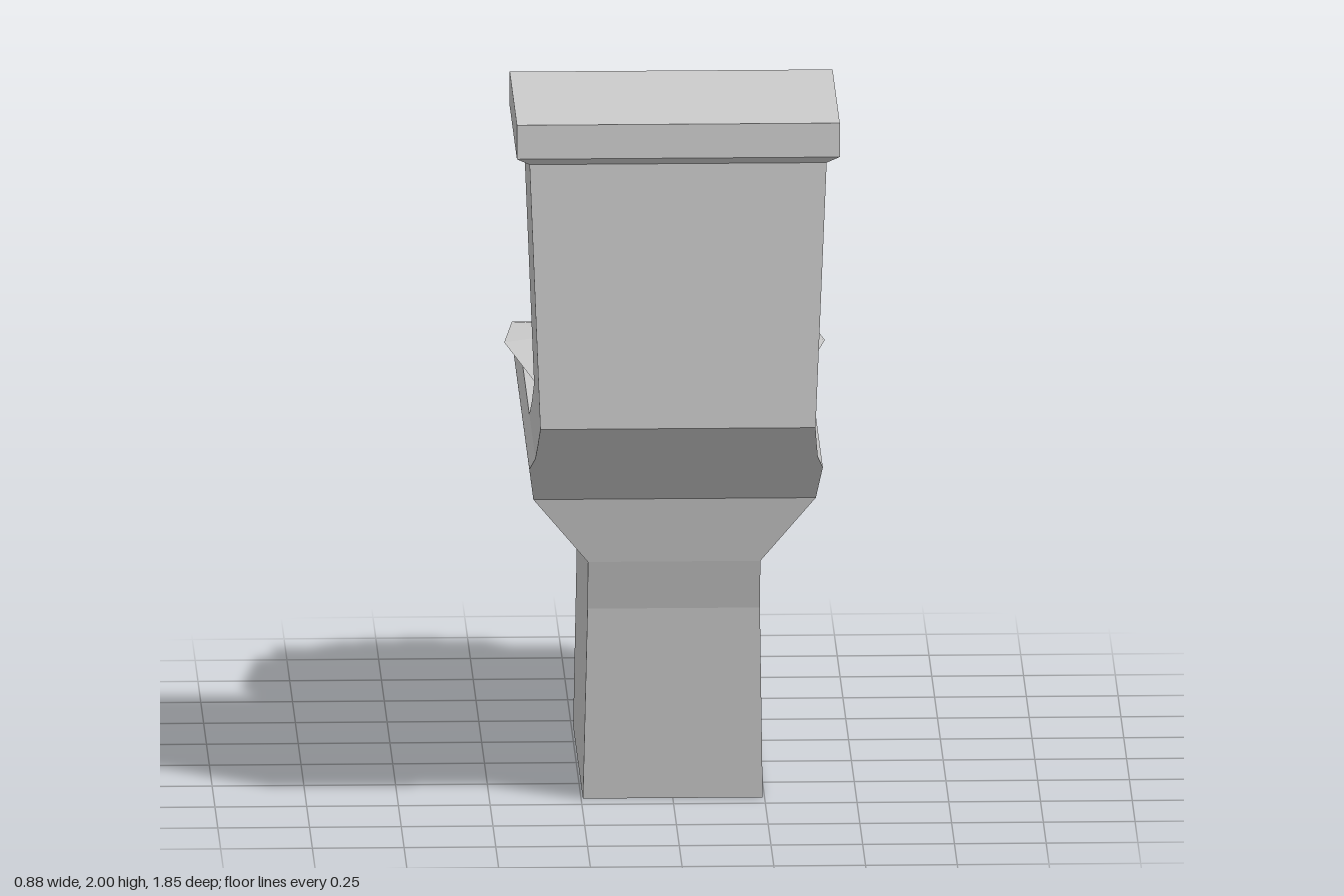
import * as THREE from 'three';

const porcelain = new THREE.MeshStandardMaterial({ color: 0xcccccc });
porcelain.name = 'porcelain grey';
const black = new THREE.MeshStandardMaterial({ color: 0x080808 });
black.name = 'drain black';

// Flat-shaded skin over rings of [x, y, z], each counter-clockwise seen from above
function skin(rings, capFirst, capLast) {
  const pos = [];
  const tri = (a, b, c) => pos.push(...a, ...b, ...c);
  const n = rings[0].length;
  for (let r = 0; r < rings.length - 1; r++) {
    for (let i = 0; i < n; i++) {
      const j = (i + 1) % n;
      const a = rings[r][i], b = rings[r][j], c = rings[r + 1][j], d = rings[r + 1][i];
      tri(a, b, c);
      tri(a, c, d);
    }
  }
  const first = rings[0], last = rings[rings.length - 1];
  for (let i = 1; i < n - 1; i++) {
    if (capFirst) tri(first[0], first[i + 1], first[i]);
    if (capLast) tri(last[0], last[i], last[i + 1]);
  }
  const g = new THREE.BufferGeometry();
  g.setAttribute('position', new THREE.Float32BufferAttribute(pos, 3));
  g.computeVertexNormals();
  return g;
}

// Rectangular section: height, -z edge, +z edge, half width
const rect = ([y, z0, z1, w]) => [[-w, y, z1], [w, y, z1], [w, y, z0], [-w, y, z0]];

// Flat horizontal plate from [x, z] points
function plate(points, y, hole) {
  const v = p => new THREE.Vector2(p[0], -p[1]);
  const shape = new THREE.Shape(points.map(v));
  if (hole) shape.holes.push(new THREE.Path(hole.map(v)));
  return new THREE.ShapeGeometry(shape).rotateX(-Math.PI / 2).translate(0, y, 0);
}

export function createModel() {
  const model = new THREE.Group();
  const add = (name, geometry, material = porcelain) => {
    const mesh = new THREE.Mesh(geometry, material);
    mesh.name = name;
    model.add(mesh);
    return mesh;
  };

  // Pedestal flaring into the bowl
  add('pedestalAndBowl', skin([
    [0, -0.43, 0.43, 0.245],
    [0.55, -0.41, 0.51, 0.235],
    [0.69, -0.64, 0.55, 0.235],
    [0.875, -0.79, 0.59, 0.385],
    [0.99, -0.83, 0.72, 0.4],
    [1.03, -0.82, 0.765, 0.385],
  ].map(rect), true, false));

  // Flat rim with a hexagonal basin sunk into it
  const hex = [[-0.1, -0.18], [0.11, -0.18], [0.215, -0.42], [0.11, -0.62], [-0.1, -0.62], [-0.205, -0.42]];
  add('bowlRim', plate([[-0.385, 0.23], [0.385, 0.23], [0.385, -0.82], [-0.385, -0.82]], 1.03, hex));
  const floorY = 0.75;
  add('basin', skin([1.03, floorY].map(y => hex.map(([x, z]) => [x, y, z])), false, true));

  // Drain: small egg-shaped plate on the basin floor
  const egg = new THREE.CatmullRomCurve3([
    [0.02, -0.19], [0.05, -0.19], [0.08, -0.25], [0.13, -0.32], [0.12, -0.38],
    [0.06, -0.41], [0, -0.38], [-0.02, -0.31], [0, -0.25],
  ].map(([x, z]) => new THREE.Vector3(x, 0, z)), true);
  add('drain', plate(egg.getPoints(28).slice(0, -1).map(p => [p.x, p.z]), floorY + 0.004), black);

  // Cistern
  add('tank', skin([
    [1.03, 0.23, 0.765, 0.385],
    [1.08, 0.295, 0.82, 0.38],
    [1.14, 0.33, 0.885, 0.375],
    [1.89, 0.31, 0.9, 0.405],
  ].map(rect), false, true));
  add('tankLid', skin([
    [1.885, 0.305, 0.9, 0.405],
    [1.905, 0.28, 0.92, 0.44],
    [2, 0.28, 0.92, 0.44],
  ].map(rect), true, true));

  // Seat: mirrored half outlines, listed from the -z tip to the hinge end
  const mirror = half => [
    ...half.map(([x, y, z]) => [-x, y, z]),
    ...half.slice().reverse(),
  ];
  const outer = [
    [0.05, 1.018, -0.925], [0.2, 1.025, -0.89], [0.26, 1.04, -0.83], [0.405, 1.08, -0.66],
    [0.437, 1.107, -0.3], [0.345, 1.04, -0.01], [0.1, 1.035, 0.03],
  ];
  const inner = [
    [0.04, 1.08, -0.74], [0.07, 1.08, -0.74], [0.1, 1.08, -0.74], [0.255, 1.098, -0.55],
    [0.265, 1.107, -0.4], [0.18, 1.107, -0.16], [0.1, 1.107, -0.155],
  ];
  const shrink = (pts, s, y) => pts.map(([x, , z]) => [x * s, y, (z + 0.44) * s - 0.44]);
  const seat = [shrink(outer, 0.86, 1.022), outer, inner, shrink(inner, 0.9, 1.031)];
  add('seat', skin(seat.map(mirror), false, false));

  // Flush lever: faceted knob and thin handle
  const knob = new THREE.SphereGeometry(0.05, 6, 4).toNonIndexed();
  knob.rotateX(Math.PI / 2).scale(0.85, 1, 0.8);
  knob.computeVertexNormals();
  add('leverKnob', knob).position.set(-0.19, 1.68, 0.292);
  const handle = new THREE.CylinderGeometry(0.016, 0.011, 0.13, 6).toNonIndexed();
  handle.rotateZ(Math.PI / 2);
  handle.computeVertexNormals();
  add('leverHandle', handle).position.set(-0.255, 1.68, 0.297);

  return model;
}
